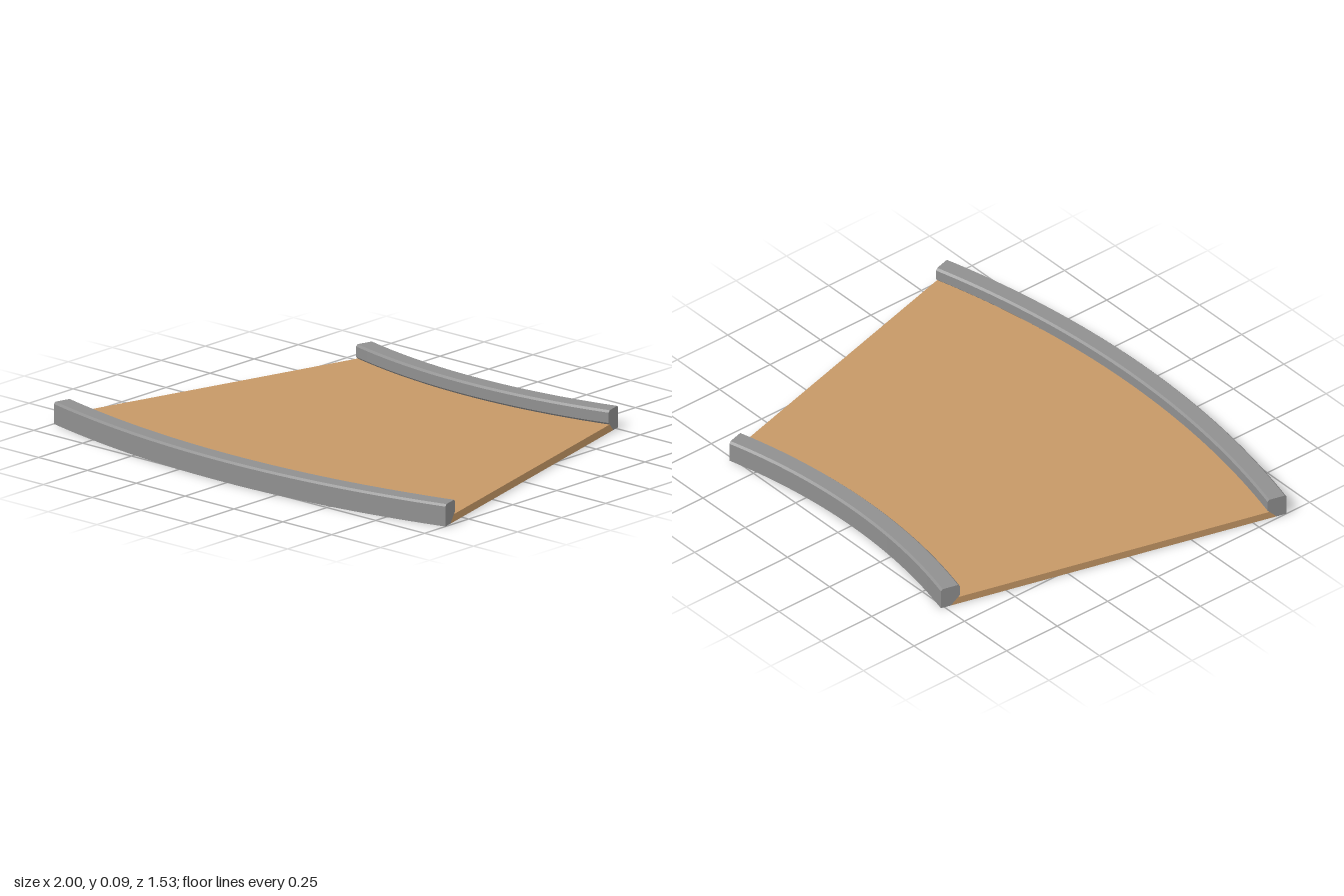
import * as THREE from 'three';
import { mergeGeometries } from 'three/addons/utils/BufferGeometryUtils.js';

const HALF = Math.PI / 12, TURN = 0.0022;
const START = -HALF + TURN, SWEEP = HALF * 2;
const R_IN = 2.414, R_OUT = 3.864, WIDTH = 0.08, HEIGHT = 0.087;
const FLOOR = 0.03, BEVEL = 0.008, CUT = 0.038;

// Sweeps a closed [radius, y] outline, counterclockwise, around y with hard profile edges and end caps
function sweep(points) {
  const parts = points.map((p, i) => {
    const q = points[(i + 1) % points.length];
    return new THREE.LatheGeometry([new THREE.Vector2(...p), new THREE.Vector2(...q)], 40, START, SWEEP);
  });
  for (const side of [1, -1]) {
    const shape = new THREE.Shape(points.map(([r, y]) => new THREE.Vector2(r * side, y)));
    const angle = side > 0 ? START : START + SWEEP;
    parts.push(new THREE.ShapeGeometry(shape).rotateY(angle - side * Math.PI / 2));
  }
  return mergeGeometries(parts);
}

// Rail outline: d is the distance from the outside face towards the floor
function railOutline(radius, dir) {
  const outline = [
    [0, 0], [0, HEIGHT - BEVEL], [BEVEL, HEIGHT], [WIDTH - BEVEL, HEIGHT],
    [WIDTH, HEIGHT - BEVEL], [WIDTH, CUT], [WIDTH - CUT, 0],
  ].map(([d, y]) => [radius + dir * d, y]);
  return dir > 0 ? outline.reverse() : outline;
}

export function createModel() {
  const grey = new THREE.MeshStandardMaterial({ color: 0x909090 });
  grey.name = 'railGrey';
  const tan = new THREE.MeshStandardMaterial({ color: 0xc69866 });
  tan.name = 'floorTan';

  const model = new THREE.Group();
  model.name = 'curvedTrack';
  const add = (name, outline, material) => {
    const mesh = new THREE.Mesh(sweep(outline), material);
    mesh.name = name;
    model.add(mesh);
  };

  // Curved rails, undercut where they grip the floor
  add('innerRail', railOutline(R_IN, 1), grey);
  add('outerRail', railOutline(R_OUT, -1), grey);

  // Floor with slanted edges that fit the undercuts
  const low = WIDTH - CUT, high = low + FLOOR;
  add('floor', [
    [R_IN + low, 0], [R_OUT - low, 0], [R_OUT - high, FLOOR], [R_IN + high, FLOOR],
  ], tan);

  // Centre the sector on the origin
  for (const mesh of model.children) {
    mesh.geometry.translate(-R_OUT * Math.cos(HALF) * TURN, 0, 0.766 - R_OUT);
  }
  return model;
}
